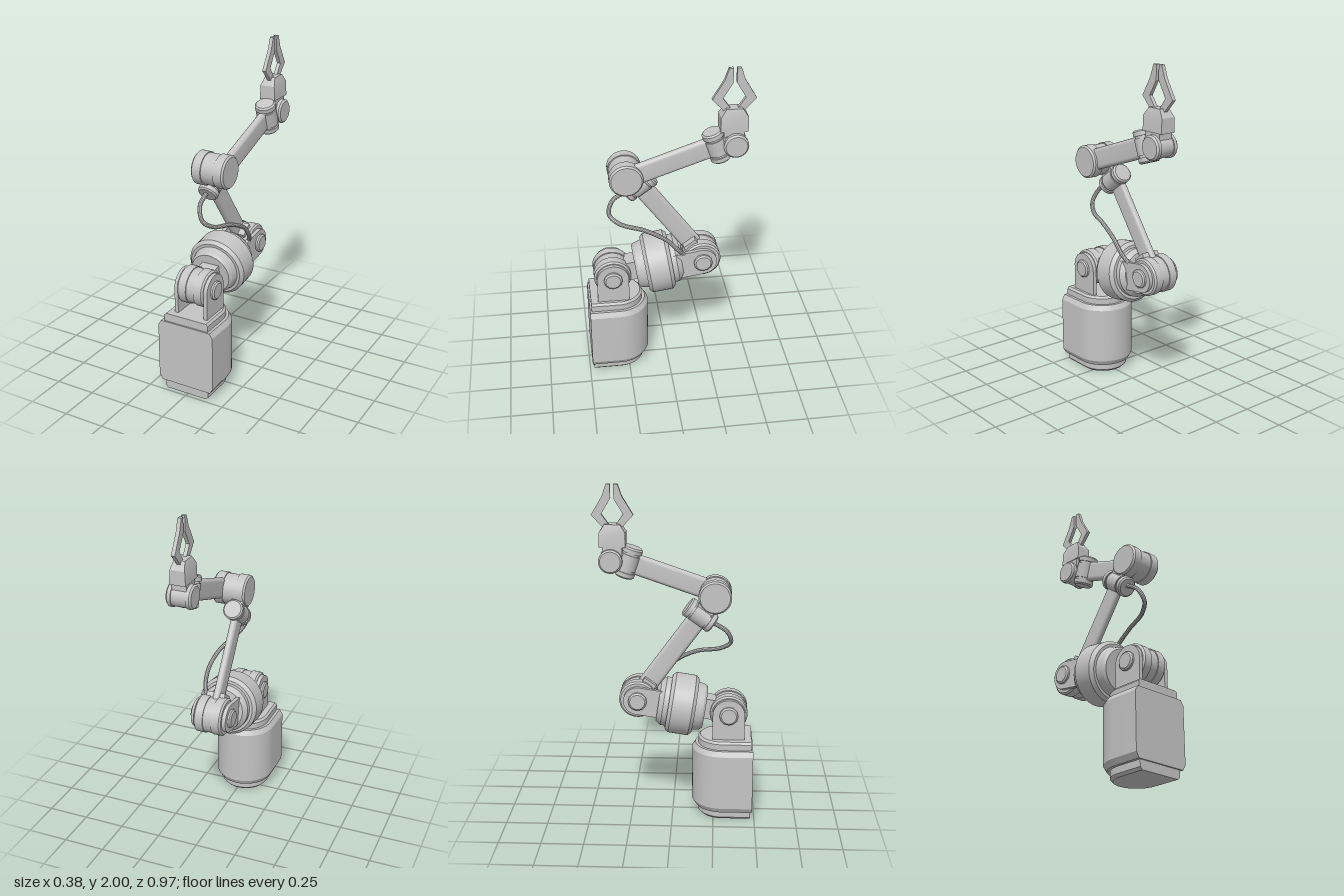
import * as THREE from 'three';
import { toCreasedNormals } from 'three/addons/utils/BufferGeometryUtils.js';

const X = [1, 0, 0], UP = [0, 1, 0];

export function createModel() {
  const model = new THREE.Group();
  const grey = new THREE.MeshStandardMaterial({ color: 0xc4c4c4 });
  grey.name = 'light grey metal';

  // Adds a part whose local +y points along dir
  function add(name, geometry, pos = [0, 0, 0], dir = UP) {
    const mesh = new THREE.Mesh(toCreasedNormals(geometry, 0.5), grey);
    mesh.name = name;
    mesh.position.set(...pos);
    if (dir[0]) mesh.rotation.z = -Math.PI / 2;
    else mesh.rotation.x = Math.atan2(dir[2], dir[1]);
    model.add(mesh);
  }

  // Turned solid from [radius, height] pairs, closed at both ends
  function turned(profile, sides = 40) {
    const p = [[0, profile[0][1]], ...profile, [0, profile.at(-1)[1]]];
    return new THREE.LatheGeometry(p.map(([r, y]) => new THREE.Vector2(r, y)), sides);
  }

  // Joint drum with chamfered rims and a shallow middle groove
  function drum(r, h, g, c = 0.01) {
    return turned([[r - c, -h], [r, -h + c], [r, -g], [r - 0.006, -g], [r - 0.006, g], [r, g], [r, h - c], [r - c, h]]);
  }

  // Skin over horizontal rings of equal length, with end caps
  function loft(rings) {
    const n = rings[0].length, pos = rings.flat(2), idx = [];
    for (let k = 0; k < rings.length - 1; k++)
      for (let i = 0; i < n; i++) {
        const a = k * n + i, b = k * n + (i + 1) % n;
        idx.push(a, b, b + n, a, b + n, a + n);
      }
    const top = (rings.length - 1) * n;
    for (let i = 1; i < n - 1; i++) idx.push(0, i + 1, i, top, top + i, top + i + 1);
    const geo = new THREE.BufferGeometry();
    geo.setAttribute('position', new THREE.Float32BufferAttribute(pos, 3));
    geo.setIndex(idx);
    return geo;
  }

  // Sideways slab: shape lies in the yz plane, thickness along x
  function slab(shape, width) {
    return new THREE.ExtrudeGeometry(shape, { depth: width, bevelEnabled: false, curveSegments: 20 })
      .translate(0, 0, -width / 2).rotateY(Math.PI / 2);
  }

  // Bar along +y with rounded long edges
  function bar(width, height, length) {
    const r = width / 2, f = height / 2 - r, s = new THREE.Shape();
    s.absarc(0, f, r, 0, Math.PI);
    s.absarc(0, -f, r, Math.PI, Math.PI * 2);
    return new THREE.ExtrudeGeometry(s, { depth: length, bevelEnabled: false, curveSegments: 8 }).rotateX(-Math.PI / 2);
  }

  // Unit direction between two points, ignoring x
  const direction = (a, b) => new THREE.Vector3(0, b[1] - a[1], b[2] - a[2]).normalize().toArray();
  const along = (a, dir, t) => a.map((v, i) => v + dir[i] * t);

  // Pivots
  const shoulder = [0.005, 0.659, 0.337], elbow = [0.005, 0.743, -0.208];
  const turnA = [0.004, 1.25, 0.16], elbowB = [0.062, 1.362, 0.247];
  const turnB = [0.12, 1.54, -0.268], wrist = [0.112, 1.553, -0.371];

  // Base: flat front, round back, stepped and chamfered
  const dRing = ([y, r, front]) => {
    const ring = [[-0.005 - r, y, front], [-0.005 + r, y, front]];
    for (let i = 0; i <= 24; i++) {
      const a = i / 24 * Math.PI;
      ring.push([-0.005 + r * Math.cos(a), y, 0.302 - r * Math.sin(a)]);
    }
    return ring;
  };
  add('base', loft([
    [0, 0.132, 0.475], [0.015, 0.147, 0.475], [0.055, 0.147, 0.475], [0.055, 0.164, 0.485],
    [0.088, 0.183, 0.485], [0.425, 0.183, 0.485], [0.455, 0.164, 0.485], [0.455, 0.147, 0.475],
    [0.492, 0.147, 0.475], [0.505, 0.135, 0.475]].map(dRing)));

  // Forked joints: two cheek plates, a grooved drum and bolt caps
  function fork(name, pivot, dir, r, length) {
    const s = new THREE.Shape();
    s.moveTo(-r, -length);
    s.lineTo(r, -length);
    s.absarc(0, 0, r, 0, Math.PI);
    for (const side of [-1, 1]) {
      add(name + 'Cheek', slab(s, 0.023), along(pivot, X, side * 0.097), dir);
      const cap = [[0.056, -0.01], [0.056, 0.012], [0.046, 0.02]];
      add(name + 'Cap', turned(side > 0 ? cap : cap.map(([q, y]) => [q, -y]).reverse(), 12),
        along(pivot, X, side * 0.108), X);
    }
    add(name + 'Drum', drum(0.112, 0.086, 0.026), pivot, X);
  }
  const lowDir = direction(shoulder, elbow);
  fork('shoulder', shoulder, UP, 0.096, 0.17);
  fork('elbow', elbow, lowDir, 0.085, 0.17);

  // Rotating barrel between shoulder and elbow
  add('shoulderNeck', new THREE.BoxGeometry(0.11, 0.2, 0.125), along(shoulder, lowDir, 0.12), lowDir);
  add('barrel', turned([
    [0.125, -0.139], [0.138, -0.125], [0.148, -0.08], [0.165, -0.08], [0.184, -0.06],
    [0.184, 0.06], [0.165, 0.082], [0.148, 0.082], [0.148, 0.112], [0.125, 0.142]], 48),
    [-0.004, 0.696, 0.055], lowDir);

  // Swivel at the end of an arm, its axis square to the arm
  function swivel(name, pos, armDir) {
    add(name, turned([
      [0.052, -0.094], [0.061, -0.085], [0.061, -0.06], [0.053, -0.06], [0.053, -0.048], [0.06, -0.048],
      [0.06, 0.048], [0.053, 0.048], [0.053, 0.06], [0.061, 0.06], [0.061, 0.085], [0.052, 0.094]], 32),
      pos, [0, armDir[2], -armDir[1]]);
  }

  // Upper arm
  const upDir = direction(elbow, turnA);
  add('upperArmFoot', new THREE.BoxGeometry(0.115, 0.07, 0.085), along(elbow, upDir, 0.095), upDir);
  add('upperArm', bar(0.042, 0.118, 0.54), along([-0.002, ...elbow.slice(1)], upDir, 0.08), upDir);
  swivel('upperSwivel', turnA, upDir);

  // Second elbow and forearm
  const linkDir = direction(turnA, elbowB);
  add('swivelLink', new THREE.BoxGeometry(0.08, 0.13, 0.105), along(turnA, linkDir, 0.07), linkDir);
  add('upperElbow', drum(0.098, 0.103, 0.04), elbowB, X);
  const foreStart = [0.12, 1.362, 0.247];
  const foreDir = direction(foreStart, turnB);
  add('forearm', bar(0.046, 0.126, 0.5), along(foreStart, foreDir, 0.04), foreDir);
  swivel('wristSwivel', turnB, foreDir);

  // Wrist
  add('wristLink', new THREE.BoxGeometry(0.08, 0.09, 0.09), along(turnB, foreDir, 0.055), foreDir);
  add('wristDrum', drum(0.071, 0.075, 0.045), wrist, X);

  // Gripper body, chamfered toward the top
  const boxRing = ([y, w, d]) => [[-w, d], [w, d], [w, -d], [-w, -d]].map(([x, z]) => [0.112 + x, y, -0.36 + z]);
  add('gripperBody', loft([[1.58, 0.043, 0.058], [1.635, 0.043, 0.058], [1.635, 0.048, 0.078],
    [1.72, 0.045, 0.078], [1.767, 0.032, 0.046]].map(boxRing)));

  // Two mirrored fingers
  const finger = [[0.045, 1.735], [0.124, 1.82], [0.058, 1.93], [0.034, 2], [0.01, 2], [0.01, 1.915], [0.064, 1.825], [0.01, 1.75]];
  for (const side of [-1, 1]) {
    const s = new THREE.Shape(finger.map(([d, y]) => new THREE.Vector2(side * d, y)));
    add(side > 0 ? 'backFinger' : 'frontFinger', slab(s, 0.022), [0.112, 0, -0.36]);
  }

  // Hose from the upper swivel down to the barrel
  const path = new THREE.CatmullRomCurve3([
    [0, 1.215, 0.215], [0, 1.195, 0.255], [0.005, 1.15, 0.32], [0.035, 1.077, 0.343], [0.07, 1.028, 0.285],
    [0.11, 0.995, 0.14], [0.128, 0.93, 0.015], [0.122, 0.85, -0.055], [0.09, 0.78, -0.11]]
    .map(p => new THREE.Vector3(...p)));
  add('hose', new THREE.TubeGeometry(path, 60, 0.013, 10));

  return model;
}
